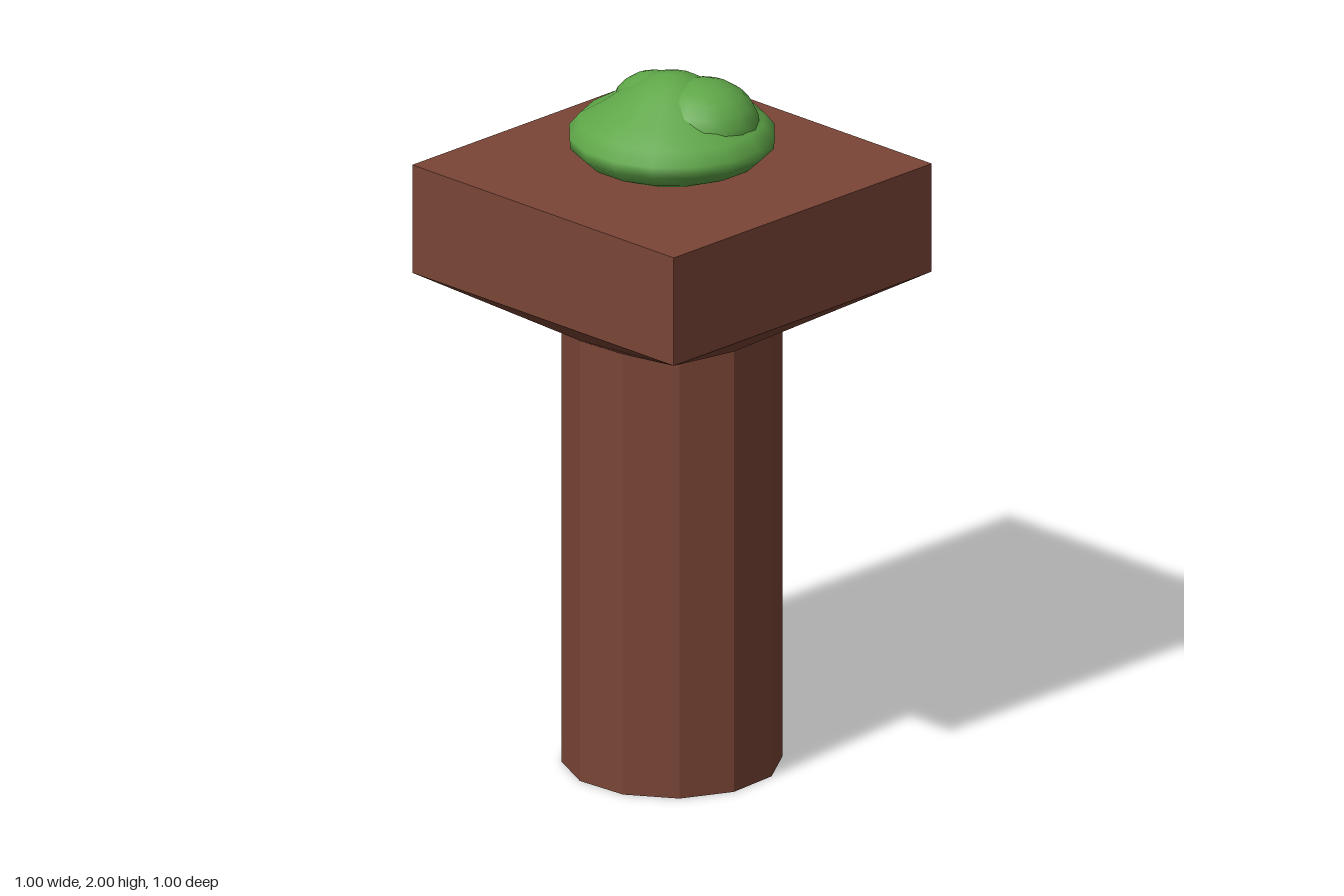
import * as THREE from 'three';

const SIDES = 12, RADIUS = 0.302, TURN = THREE.MathUtils.degToRad(18.5);
const NECK = 1.285, SLAB = 1.42, TOP = 1.735;

// Flare joining the twelve-sided shaft to the square slab
function flareGeometry() {
  const ring = (i) => {
    const a = TURN + (i * Math.PI * 2) / SIDES;
    return [RADIUS * Math.sin(a), NECK, RADIUS * Math.cos(a)];
  };
  const corner = (q) => {
    const a = Math.PI / 4 + (q * Math.PI) / 2;
    return [Math.SQRT1_2 * Math.sin(a), SLAB, Math.SQRT1_2 * Math.cos(a)];
  };
  const points = [];
  for (let q = 0; q < 4; q++) {
    const k = q * 3, c = corner(q), next = corner(q + 1);
    // two triangles fan from the corner, then a quad runs along the side
    points.push(...ring(k), ...ring(k + 1), ...c);
    points.push(...ring(k + 1), ...ring(k + 2), ...c);
    points.push(...ring(k + 2), ...ring(k + 3), ...next);
    points.push(...ring(k + 2), ...next, ...c);
  }
  const geometry = new THREE.BufferGeometry();
  geometry.setAttribute('position', new THREE.Float32BufferAttribute(points, 3));
  geometry.computeVertexNormals();
  return geometry;
}

export function createModel() {
  const model = new THREE.Group();
  model.name = 'pillarWithShrub';

  const brown = new THREE.MeshStandardMaterial({ color: 0x7a4536 });
  brown.name = 'brown clay';
  brown.flatShading = true;
  const green = new THREE.MeshStandardMaterial({ color: 0x5fa648 });
  green.name = 'leaf green';

  const add = (name, geometry, material, x = 0, y = 0, z = 0) => {
    const mesh = new THREE.Mesh(geometry, material);
    mesh.name = name;
    mesh.position.set(x, y, z);
    model.add(mesh);
    return mesh;
  };

  // Pillar
  add('shaft', new THREE.CylinderGeometry(RADIUS, RADIUS, NECK, SIDES, 1, false, TURN), brown, 0, NECK / 2);
  add('flare', flareGeometry(), brown);
  add('slab', new THREE.BoxGeometry(1, TOP - SLAB, 1), brown, 0, (TOP + SLAB) / 2);

  // Shrub: a wide cushion with a rounded crown
  const profile = [
    [0, 1.732], [0.18, 1.737], [0.245, 1.765], [0.282, 1.8], [0.285, 1.832],
    [0.255, 1.868], [0.19, 1.907], [0.13, 1.95], [0.07, 1.985], [0.03, 1.998], [0, 2],
  ].map(([r, y]) => new THREE.Vector2(r, y));
  add('shrubCushion', new THREE.LatheGeometry(profile, 16, Math.PI / 16), green);

  // Extra leafy lumps on the crown
  const lump = (name, x, y, z, rx, ry, rz) =>
    add(name, new THREE.SphereGeometry(1, 16, 12), green, x, y, z).scale.set(rx, ry, rz);
  lump('shrubLeftLump', 0.085, 1.862, -0.035, 0.155, 0.131, 0.155);
  lump('shrubRightLump', -0.055, 1.87, 0, 0.14, 0.117, 0.12);

  return model;
}
